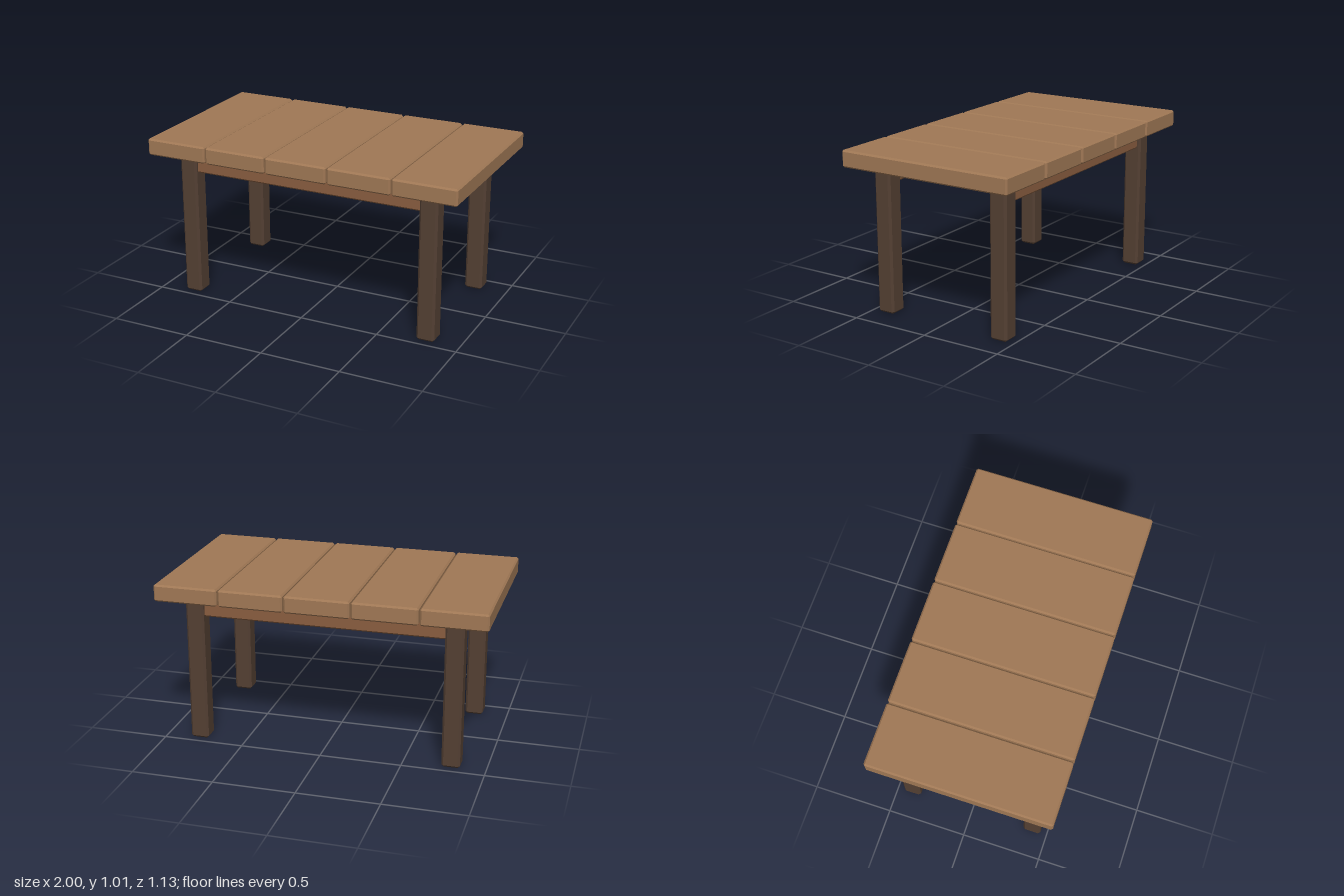
import * as THREE from 'three';
import { ConvexGeometry } from 'three/addons/geometries/ConvexGeometry.js';

// Box with all edges cut at 45 degrees by c
function chamferBox(w, h, d, c) {
  const half = [w / 2, h / 2, d / 2];
  const points = [];
  for (const sx of [-1, 1]) for (const sy of [-1, 1]) for (const sz of [-1, 1]) {
    for (let face = 0; face < 3; face++) {
      const p = half.map((v, i) => (i === face ? v : v - c));
      points.push(new THREE.Vector3(sx * p[0], sy * p[1], sz * p[2]));
    }
  }
  return new ConvexGeometry(points);
}

export function createModel() {
  const table = new THREE.Group();
  table.name = 'table';
  const wood = (color) => new THREE.MeshStandardMaterial({ color, flatShading: true });
  const plankWood = wood(0xa07855);
  const railWood = wood(0x8a5e40);
  const legWood = wood(0x544033);

  const add = (name, geometry, material, x, y, z) => {
    const mesh = new THREE.Mesh(geometry, material);
    mesh.name = name;
    mesh.position.set(x, y, z);
    table.add(mesh);
  };

  // Table top: five planks side by side
  const plank = chamferBox(0.394, 0.104, 1.13, 0.01);
  for (let i = -2; i <= 2; i++) add('plank' + (i + 3), plank, plankWood, i * 0.4015, 0.963, 0);

  // Long rails under the planks, and a leg at each corner
  const rail = chamferBox(1.6, 0.145, 0.065, 0.01);
  const leg = chamferBox(0.112, 0.911, 0.112, 0.013);
  for (const [end, z] of [['front', 0.402], ['back', -0.402]]) {
    add(end + 'Rail', rail, railWood, 0, 0.868, z);
    for (const [side, x] of [['Left', 0.789], ['Right', -0.789]]) {
      add(end + side + 'Leg', leg, legWood, x, 0.4555, z);
    }
  }
  return table;
}
